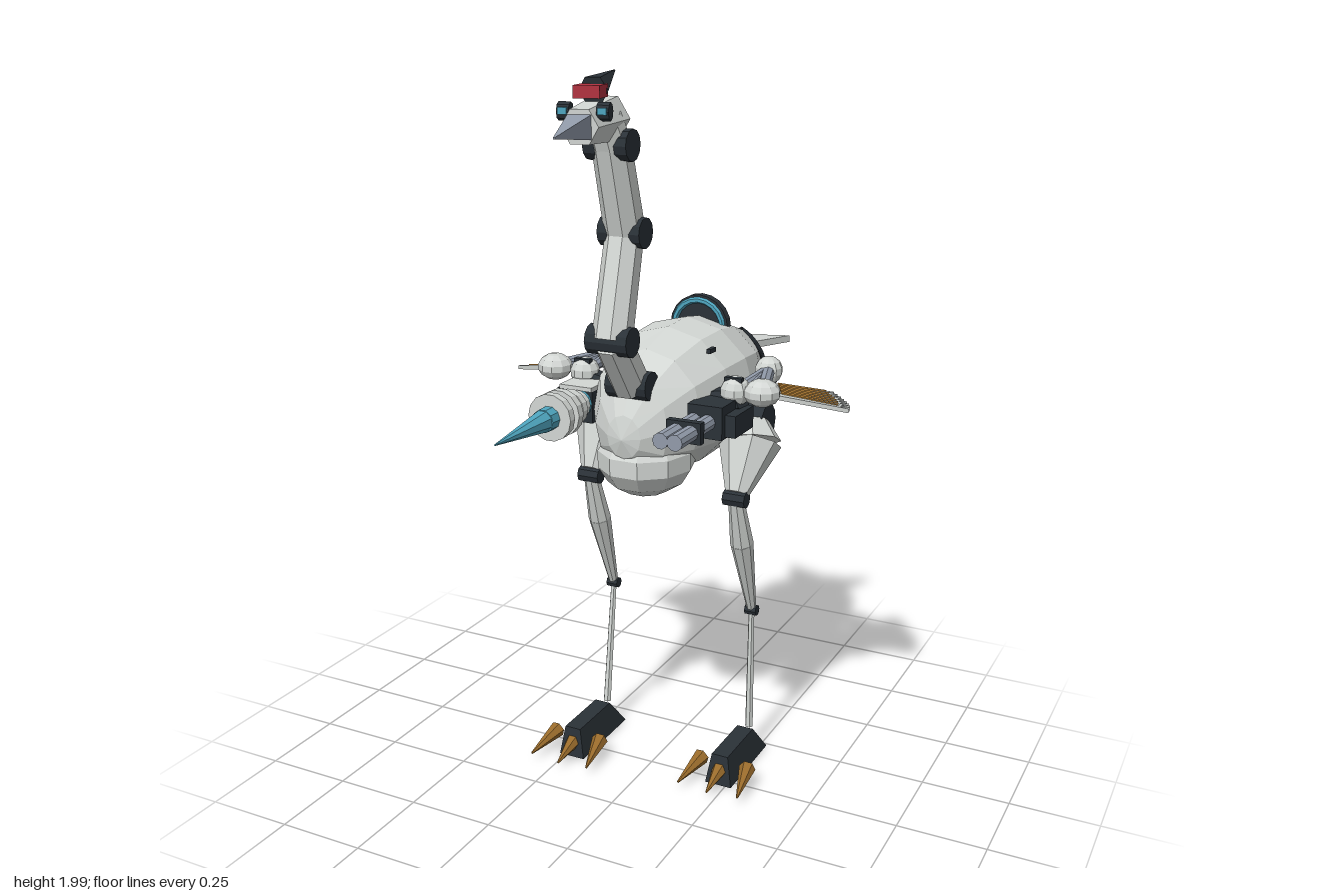
import * as THREE from 'three';

const mat = (name, color, extra = {}) =>
  Object.assign(new THREE.MeshStandardMaterial({ color, flatShading: true, ...extra }), { name });
const V = (x, y, z) => new THREE.Vector3(x, y, z);

export function createModel() {
  const model = new THREE.Group();
  model.name = 'mechanicalBird';
  const white = mat('pale shell', 0xd3d7d4, { side: THREE.DoubleSide });
  const dark = mat('dark armour', 0x2b3238, { side: THREE.DoubleSide });
  const steel = mat('steel', 0x929baa);
  const teal = mat('teal energy', 0x4fa6c0);
  const gold = mat('bronze', 0x9a6c2c);
  const red = mat('red', 0xb23340);

  const add = (name, geo, m, pos = [0, 0, 0], parent = model) => {
    const mesh = new THREE.Mesh(geo, m);
    mesh.name = name;
    mesh.position.set(...pos);
    parent.add(mesh);
    return mesh;
  };
  // Tapered rod from point a (radius ra) to point b (radius rb)
  const limb = (name, a, b, ra, rb, m, sides = 8, parent = model) => {
    const d = b.clone().sub(a);
    const geo = new THREE.CylinderGeometry(rb, ra, d.length(), sides);
    geo.rotateY(Math.PI / sides);
    const mesh = add(name, geo, m, a.clone().add(b).multiplyScalar(0.5).toArray(), parent);
    mesh.quaternion.setFromUnitVectors(V(0, 1, 0), d.normalize());
    return mesh;
  };
  const box = (name, w, h, d, m, pos, parent) => add(name, new THREE.BoxGeometry(w, h, d), m, pos, parent);
  const ball = (name, r, m, pos, scale = [1, 1, 1]) =>
    add(name, new THREE.SphereGeometry(r, 10, 7).scale(...scale), m, pos);
  // Horizontal plate from [x, z] outline, raised by a height rule
  const plate = (name, pts, height, thick, m) => {
    const shape = new THREE.Shape(pts.map(([x, z]) => new THREE.Vector2(x, -z)));
    const geo = new THREE.ExtrudeGeometry(shape, { depth: thick, bevelEnabled: false }).rotateX(-Math.PI / 2);
    const p = geo.attributes.position;
    for (let i = 0; i < p.count; i++) p.setY(i, p.getY(i) + height(p.getX(i), p.getZ(i)));
    geo.computeVertexNormals();
    return add(name, geo, m);
  };
  // Skin through rows of points
  const skin = (rows) => {
    const out = [];
    for (let i = 0; i + 1 < rows.length; i++)
      for (let j = 0; j + 1 < rows[i].length; j++) {
        const [a, b, c, d] = [rows[i][j], rows[i][j + 1], rows[i + 1][j], rows[i + 1][j + 1]];
        for (const p of [a, c, b, b, c, d]) out.push(p.x, p.y, p.z);
      }
    const geo = new THREE.BufferGeometry();
    geo.setAttribute('position', new THREE.Float32BufferAttribute(out, 3));
    geo.computeVertexNormals();
    return geo;
  };

  // Body: cross-sections [z, centre y, half width, half height]
  const S = [[0.18, 1.06, 0, 0], [0.165, 1.065, 0.05, 0.06], [0.12, 1.08, 0.11, 0.13], [0.03, 1.1, 0.165, 0.175],
    [-0.1, 1.11, 0.2, 0.2], [-0.22, 1.115, 0.21, 0.2], [-0.34, 1.11, 0.19, 0.185],
    [-0.45, 1.11, 0.15, 0.145], [-0.53, 1.125, 0.11, 0.075], [-0.535, 1.125, 0, 0]];
  const ring = (s, from, to, n, off = 0) => Array.from({ length: n + 1 }, (_, j) => {
    const t = THREE.MathUtils.degToRad(from + (to - from) * j / n);
    return V(Math.cos(t) * (s[2] + off), s[1] + Math.sin(t) * (s[3] + off), s[0]);
  });
  add('body', skin(S.map((s) => ring(s, 0, 360, 12))), white);
  ball('belly', 1, white, [0, 0.975, 0.03], [0.135, 0.107, 0.15]);

  // Rear armour wrapping the body
  const rear = [S[6], S[7], S[8]];
  const span = [[28, 52], [-10, 63], [-90, 90]];
  add('leftRearArmour', skin(rear.map((s, i) => ring(s, span[i][0], span[i][1], 10, 0.007))), dark);
  add('rightRearArmour', skin(rear.map((s, i) => ring(s, 180 - span[i][1], 180 - span[i][0], 10, 0.007))), dark);
  add('rearCap', skin([ring([-0.531, 1.125, 0.115, 0.08], 0, 360, 12), ring([-0.54, 1.125, 0, 0], 0, 360, 12)]), dark);

  // Round back emitter
  add('backDisc', new THREE.CylinderGeometry(0.09, 0.09, 0.025, 20).rotateX(Math.PI / 2), dark, [0, 1.272, -0.313]);
  add('backRing', new THREE.TorusGeometry(0.075, 0.009, 6, 20), teal, [0, 1.272, -0.298]);

  // Neck
  const N = [V(0, 1.2, 0.12), V(0, 1.34, 0.225), V(0, 1.607, 0.152), V(0, 1.83, 0.22)];
  N.forEach((p, i) => {
    if (i) limb('neckSegment' + i, N[i - 1], p, 0.053, 0.05, white);
    add('neckJoint' + i, new THREE.CylinderGeometry(0.04, 0.04, 0.12, 12).rotateZ(Math.PI / 2), dark, p.toArray());
  });
  limb('neckTop', N[3], V(-0.005, 1.9, 0.25), 0.05, 0.045, white);

  // Head, turned slightly to its left
  const head = new THREE.Group();
  head.name = 'head';
  head.position.set(0, 1.9, 0.307);
  head.rotation.y = 0.23;
  model.add(head);
  limb('skull', V(0, -0.01, -0.11), V(0, -0.012, 0.12), 0.062, 0.046, white, 6, head);
  limb('beak', V(0, -0.012, 0.11), V(0, -0.02, 0.315), 0.042, 0.003, steel, 4, head);
  box('crown', 0.065, 0.03, 0.075, red, [0, 0.063, 0.025], head);
  limb('crest', V(0, 0.062, 0), V(0, 0.1, -0.195), 0.037, 0.002, dark, 6, head);
  for (const s of [-1, 1]) {
    add('eyeSocket', new THREE.CylinderGeometry(0.022, 0.022, 0.03, 8).rotateZ(Math.PI / 2), dark, [s * 0.048, 0.02, 0.075], head);
    box('eye', 0.022, 0.016, 0.006, teal, [s * 0.048, 0.022, 0.098], head);
  }

  // Tail fans
  for (const s of [-1, 1])
    plate('tailFan', [[0.01, -0.46], [0.005, -0.56], [0.04, -0.575], [0.045, -0.567], [0.09, -0.59], [0.095, -0.582],
      [0.16, -0.612], [0.11, -0.47]].map(([x, z]) => [s * x, z]), (x, z) => 1.18 + (z + 0.5) * 0.05, 0.02, white);

  for (const s of [-1, 1]) {
    const P = (x, y, z) => V(s * x, y, z);
    // Flank slots and trailing spikes
    box('flankSlot', 0.012, 0.012, 0.035, dark, [s * 0.135, 1.26, -0.09]);
    limb('flankSpike', P(0.19, 1.11, -0.25), P(0.145, 1.065, -0.54), 0.035, 0.006, dark, 5);
    limb('flankTrim', P(0.215, 1.125, -0.25), P(0.155, 1.08, -0.52), 0.009, 0.004, gold, 5);

    // Wing arm
    const shoulder = P(0.23, 1.17, -0.04), elbow = P(0.24, 1.18, -0.25), wrist = P(0.315, 1.18, -0.02);
    ball('wingShoulder', 0.042, white, shoulder.toArray());
    ball('wingElbow', 0.04, white, elbow.toArray());
    ball('wingWrist', 0.05, white, wrist.toArray(), [1, 0.75, 1]);
    box('shoulderSlot', 0.05, 0.02, 0.018, dark, [s * 0.23, 1.2, -0.03]);
    limb('wingMount', P(0.17, 1.12, -0.05), P(0.25, 1.15, -0.04), 0.05, 0.035, dark);
    limb('upperWingRod', shoulder, elbow, 0.016, 0.016, steel);
    limb('lowerWingRod', wrist, elbow, 0.018, 0.018, steel);
    limb('innerWingRod', P(0.27, 1.185, -0.04), elbow, 0.009, 0.009, steel, 6);

    // Feather fan with shafts
    const high = (x, z) => 1.175 + 0.2 * z - 0.13 * (Math.abs(x) - 0.3);
    const tip = (t) => [0.38 + 0.135 * Math.sin(t * 1.57) * 0.6 + 0.135 * t * 0.4, -0.405 + 0.265 * t];
    const root = (t) => [0.25 + 0.08 * t, -0.25 + 0.19 * t];
    const outline = [root(0), [0.28, -0.295]];
    for (let i = 0; i < 9; i++) {
      const a = tip(i / 8), b = tip((i + 0.6) / 8), r = root((i + 0.6) / 8);
      outline.push(a);
      if (i < 8) outline.push([b[0] + (r[0] - b[0]) * 0.14, b[1] + (r[1] - b[1]) * 0.14]);
    }
    outline.push([0.37, -0.05], [0.32, -0.02]);
    plate('featherFan', outline.map(([x, z]) => [s * x, z]), high, 0.012, white);
    for (let i = 0; i < 8; i++) {
      const t = (i + 0.3) / 8, a = root(t), b = tip(t);
      const at = (k) => {
        const x = a[0] + (b[0] - a[0]) * k, z = a[1] + (b[1] - a[1]) * k;
        return P(x, high(x, z) + 0.012, z);
      };
      limb('featherShaft', at(0.1), at(0.85), 0.0045, 0.0035, gold, 4);
    }

    // Leg: the right one steps slightly forward
    const f = s < 0 ? 0.05 : 0, x = 0.228;
    add('hipJoint', new THREE.CylinderGeometry(0.055, 0.055, 0.12, 12).rotateZ(Math.PI / 2), dark, [s * 0.2, 1.04, -0.205]);
    const thigh = limb('thigh', P(x, 1.0, -0.15), P(x, 0.87, -0.07), 0.08, 0.03, white);
    thigh.scale.x = 1.15;
    limb('thighTop', P(0.215, 1.05, -0.175), P(x, 1.0, -0.15), 0.05, 0.08, white).scale.x = 1.15;
    add('knee', new THREE.CylinderGeometry(0.024, 0.024, 0.065, 8).rotateZ(Math.PI / 2), dark, [s * x, 0.857, -0.062]);
    limb('shinTop', P(x, 0.85, -0.065), P(x, 0.71, -0.11), 0.022, 0.033, white);
    limb('shinBottom', P(x, 0.71, -0.11), P(x, 0.48, -0.192), 0.033, 0.014, white);
    add('ankle', new THREE.CylinderGeometry(0.016, 0.016, 0.035, 8).rotateZ(Math.PI / 2), dark, [s * x, 0.47, -0.195]);
    limb('lowerLeg', P(x, 0.46, -0.194), P(x, 0.09, -0.195 + f), 0.009, 0.012, white, 6);

    // Foot: tapered block and three claws
    const foot = new THREE.Group();
    foot.name = 'foot';
    foot.position.set(s * x, 0, f);
    model.add(foot);
    const block = new THREE.BoxGeometry(0.08, 0.09, 0.27);
    const p = block.attributes.position;
    for (let i = 0; i < p.count; i++)
      if (p.getY(i) > 0) {
        p.setX(i, p.getX(i) * 0.62);
        p.setZ(i, p.getZ(i) > 0 ? 0.125 : -0.06);
      }
    block.computeVertexNormals();
    add('footBlock', block, dark, [0, 0.055, -0.105], foot);
    limb('middleClaw', V(0, 0.06, 0), V(0, 0.03, 0.11), 0.026, 0.003, gold, 6, foot);
    for (const k of [-1, 1])
      limb('sideClaw', V(k * 0.072, 0.062, -0.015), V(k * 0.092, 0.035, 0.105), 0.024, 0.003, gold, 6, foot);
  }

  // Twin-barrel gun on the left
  box('gunHousing', 0.1, 0.09, 0.18, dark, [0.195, 1.11, -0.01]);
  box('gunSidePod', 0.05, 0.06, 0.12, dark, [0.25, 1.1, 0]);
  for (const x of [0.164, 0.204])
    limb('gunBarrel', V(x, 1.11, 0.06), V(x, 1.11, 0.28), 0.022, 0.022, steel, 10);
  box('barrelBand', 0.098, 0.058, 0.022, dark, [0.184, 1.11, 0.175]);

  // Energy lance on the right
  box('lanceHousing', 0.11, 0.09, 0.17, dark, [-0.205, 1.1, -0.02]);
  box('lanceCover', 0.1, 0.012, 0.15, white, [-0.2, 1.151, -0.005]);
  limb('lanceCore', V(-0.188, 1.11, 0.05), V(-0.188, 1.11, 0.265), 0.038, 0.032, teal, 10);
  limb('lanceTip', V(-0.188, 1.11, 0.26), V(-0.188, 1.11, 0.495), 0.031, 0.002, teal, 8);
  for (const [z, r] of [[0.09, 0.04], [0.125, 0.052], [0.172, 0.065], [0.218, 0.065]])
    limb('lanceRing', V(-0.188, 1.11, z - 0.012), V(-0.188, 1.11, z + 0.012), r, r, white, 14);
  return model;
}
